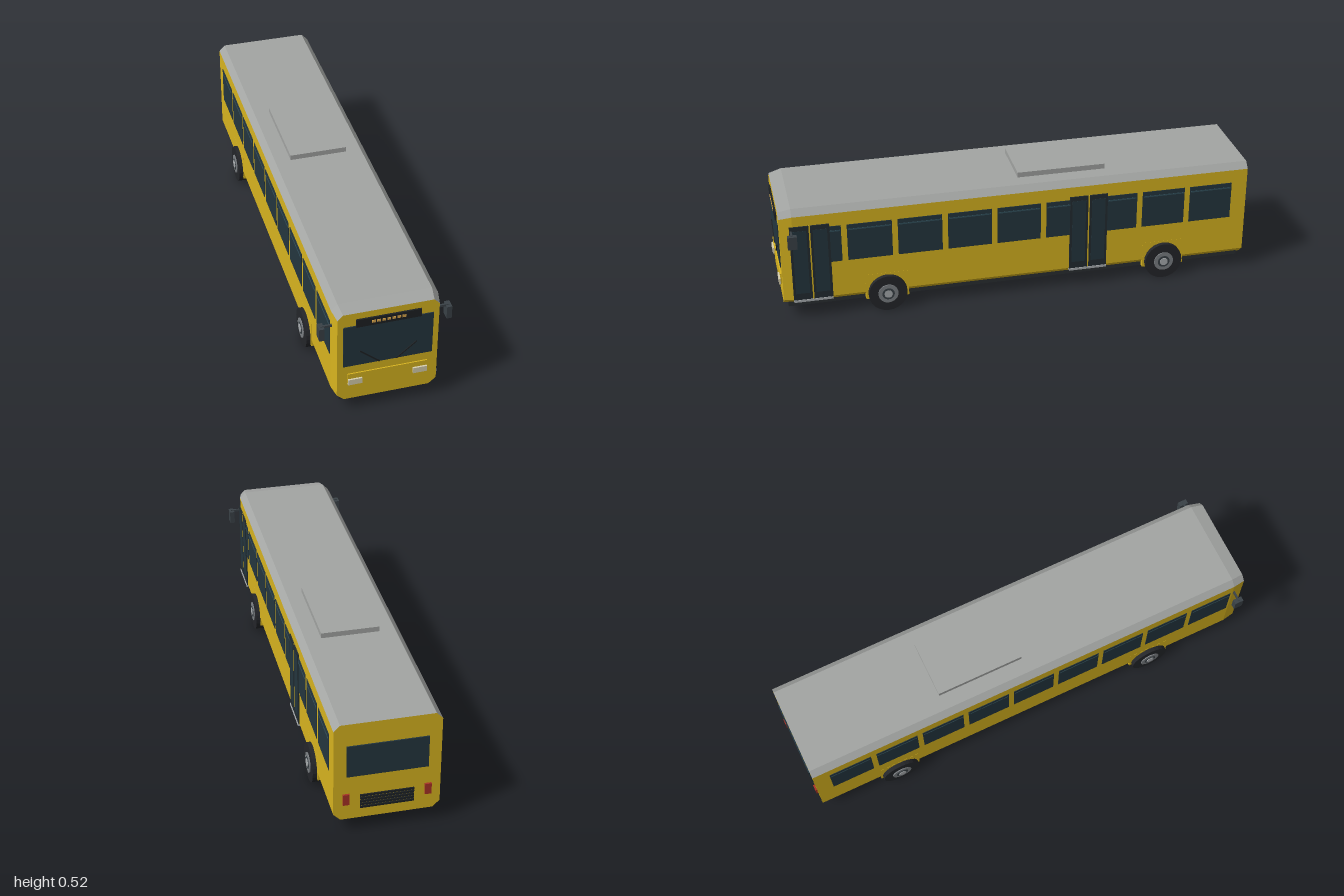
import * as THREE from 'three';

const mat = (color) => new THREE.MeshStandardMaterial({ color, flatShading: true });
const yellow = mat(0xd9b51f), grey = mat(0xa3a5a3), glass = mat(0x24363f), black = mat(0x1d2124);
const floorDark = mat(0x2a2e32), tyre = mat(0x24262a), rim = mat(0x7c8084), steel = mat(0xa9adb0);
const trim = mat(0x3a4247), doorDark = mat(0x232c31), transomBlue = mat(0x32505c);
const amber = mat(0xd9a54a), cream = mat(0xd8d0b0), red = mat(0xa83226);

export function createModel() {
  const bus = new THREE.Group();
  bus.name = 'cityBus';

  const add = (name, geometry, material, parent = bus) => {
    const mesh = new THREE.Mesh(geometry, material);
    mesh.name = name;
    parent.add(mesh);
    return mesh;
  };
  // Box given by its limits on each axis
  const box = (name, material, [x0, x1], [y0, y1], [z0, z1], parent = bus) => {
    const mesh = add(name, new THREE.BoxGeometry(x1 - x0, y1 - y0, z1 - z0), material, parent);
    mesh.position.set((x0 + x1) / 2, (y0 + y1) / 2, (z0 + z1) / 2);
    return mesh;
  };
  const group = (name) => {
    const g = new THREE.Group();
    g.name = name;
    bus.add(g);
    return g;
  };

  // Body shell: mirrored eight-sided cross-sections joined from back to front
  const section = (half, z) => [
    ...half.map(([x, y]) => new THREE.Vector3(x, y, z)),
    ...[...half].reverse().map(([x, y]) => new THREE.Vector3(-x, y, z)),
  ];
  const full = [[0.182, 0.062], [0.21, 0.09], [0.21, 0.474], [0.185, 0.5]];
  const nose = [[0.171, 0.063], [0.2, 0.089], [0.2, 0.464], [0.178, 0.487]];
  const rings = [section(full, -0.992), section(full, 0.935), section(nose, 0.988)];
  const shell = (sides, caps) => {
    const points = [];
    for (let r = 0; r < rings.length - 1; r++) {
      for (const i of sides) {
        const j = (i + 1) % 8, a = rings[r], b = rings[r + 1];
        points.push(a[i], a[j], b[j], a[i], b[j], b[i]);
      }
    }
    if (caps) {
      const back = rings[0], front = rings[2];
      for (let i = 1; i < 7; i++) {
        points.push(front[0], front[i], front[i + 1], back[0], back[i + 1], back[i]);
      }
    }
    const geometry = new THREE.BufferGeometry().setFromPoints(points);
    geometry.computeVertexNormals();
    return geometry;
  };
  add('body', shell([0, 1, 5, 6, 7], true), yellow);
  add('roof', shell([2, 3, 4], false), grey);
  box('underfloor', floorDark, [-0.188, 0.188], [0.05, 0.072], [-0.975, 0.97]);
  box('roofUnit', grey, [-0.12, 0.12], [0.498, 0.522], [-0.388, -0.014]);

  // Side windows, nine on each side
  for (const side of [-1, 1]) {
    const windows = group(side > 0 ? 'leftWindows' : 'rightWindows');
    for (let i = -4; i <= 4; i++) {
      const z = i * 0.208;
      const pane = box('sideWindow', glass, [-0.003, 0.003], [0.252, 0.416], [z - 0.092, z + 0.092], windows);
      pane.position.x = side * 0.2095;
      const bar = box('windowTransom', transomBlue, [-0.001, 0.001], [0.391, 0.397], [z - 0.088, z + 0.088], windows);
      bar.position.x = side * 0.2125;
    }
  }

  // Double doors on the left side
  for (const z of [0.867, -0.298]) {
    const door = group(z > 0 ? 'frontDoor' : 'middleDoor');
    box('doorDivider', yellow, [0.205, 0.2145], [0.09, 0.43], [z - 0.003, z + 0.003], door);
    box('doorStep', steel, [0.2, 0.217], [0.08, 0.09], [z - 0.081, z + 0.081], door);
    for (const s of [-1, 1]) {
      const c = z + s * 0.042;
      box('doorLeaf', doorDark, [0.205, 0.2145], [0.09, 0.43], [c - 0.039, c + 0.039], door);
      box('doorGlass', glass, [0.21, 0.2155], [0.12, 0.41], [c - 0.029, c + 0.029], door);
    }
  }

  // Wheels with arches behind them
  for (const side of [-1, 1]) {
    for (const z of [0.56, -0.632]) {
      const wheel = group(z > 0 ? 'frontWheel' : 'rearWheel');
      const disc = (name, material, radius, x0, x1) => {
        const m = add(name, new THREE.CylinderGeometry(radius, radius, x1 - x0, 24), material, wheel);
        m.rotation.z = Math.PI / 2;
        m.position.set(side * (x0 + x1) / 2, 0.081, z);
      };
      disc('tyre', tyre, 0.081, 0.19, 0.228);
      disc('rim', rim, 0.042, 0.22, 0.232);
      disc('hubRing', trim, 0.026, 0.225, 0.2335);
      disc('hub', steel, 0.017, 0.225, 0.236);
      const arch = box('wheelArch', yellow, [-0.012, 0.012], [0.054, 0.17], [z - 0.09, z + 0.09], wheel);
      arch.position.x = side * 0.1985;
    }
  }

  // Front: windscreen, destination sign, bumper panel
  box('windscreen', glass, [-0.177, 0.177], [0.232, 0.427], [0.98, 0.992]);
  box('signBox', black, [-0.128, 0.128], [0.422, 0.458], [0.98, 0.995]);
  for (let i = -3; i <= 3; i++) {
    const x = i * 0.0198 - 0.001;
    box('signLight', amber, [x - 0.007, x + 0.007], [0.435, 0.446], [0.99, 0.997]);
  }
  box('bumperPanel', yellow, [-0.159, 0.159], [0.143, 0.192], [0.98, 0.993]);

  for (const s of [-1, 1]) {
    // Headlights and wipers
    const lamp = box('headlight', cream, [-0.028, 0.028], [0.142, 0.168], [0.985, 1]);
    lamp.position.x = s * 0.13;
    const wiper = add('wiper', new THREE.BoxGeometry(0.104, 0.005, 0.004), black);
    wiper.position.set(s * 0.073, 0.268, 0.994);
    wiper.rotation.z = s * Math.atan2(0.067, 0.078);

    // Door mirrors on arms
    const arm = box('mirrorArm', trim, [-0.025, 0.025], [0.405, 0.414], [0.938, 0.946]);
    arm.position.x = s * 0.229;
    const mirror = box('mirror', trim, [-0.0105, 0.0105], [0.355, 0.411], [0.922, 0.96]);
    mirror.position.x = s * 0.2515;

    // Tail lights
    const tail = box('tailLight', red, [-0.013, 0.013], [0.133, 0.181], [-1, -0.985]);
    tail.position.x = s * 0.161;
  }

  // Rear window and engine grille
  box('rearWindow', glass, [-0.16, 0.16], [0.262, 0.402], [-0.997, -0.985]);
  for (let i = 0; i < 5; i++) {
    const y = 0.108 + i * 0.0135;
    box('grilleSlat', black, [-0.106, 0.106], [y, y + 0.009], [-0.997, -0.985]);
  }
  return bus;
}
